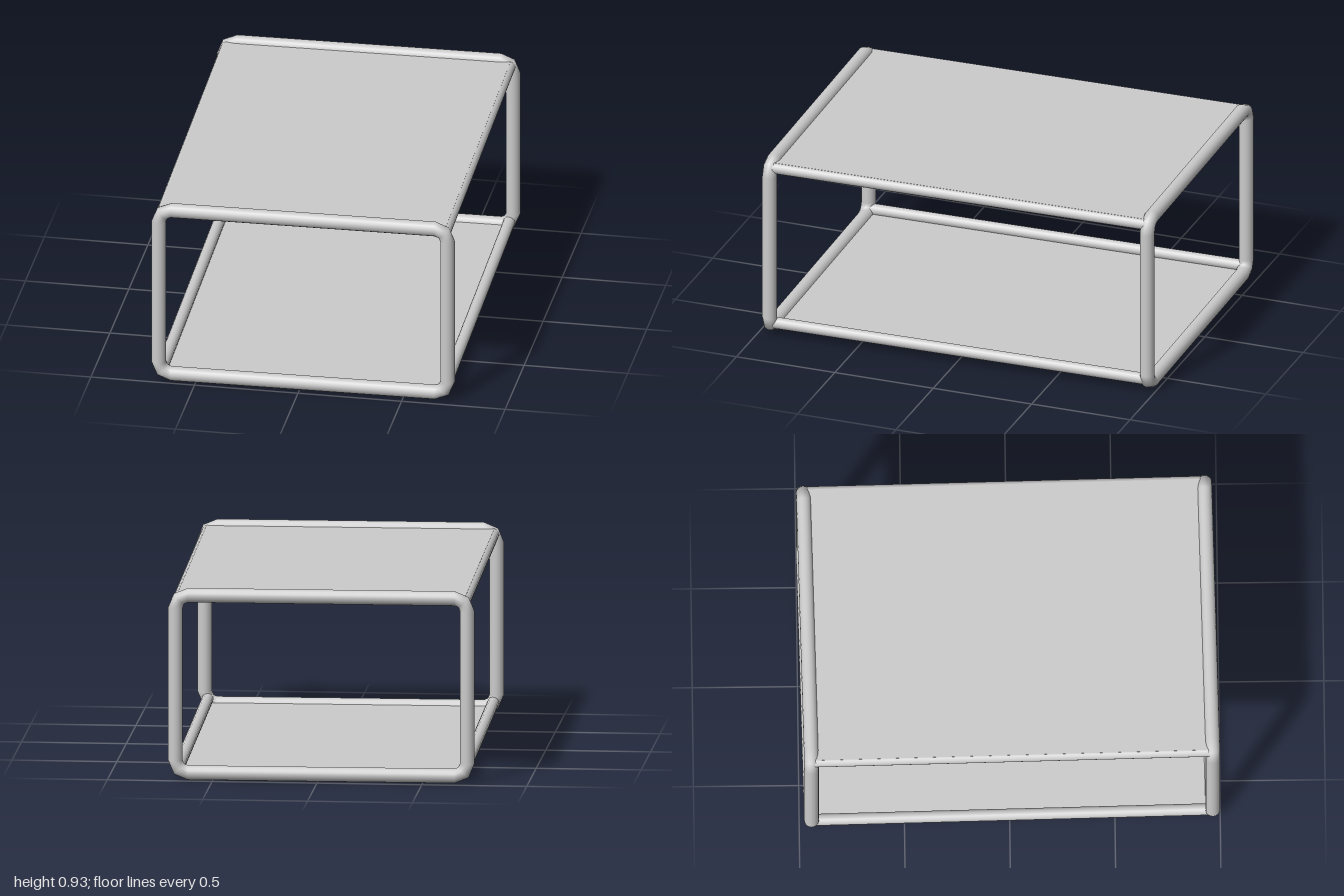
import * as THREE from 'three';

const material = new THREE.MeshStandardMaterial({ color: 0xcccccc });
const HALF_W = 0.695, LOW = 0.035, HIGH = 0.89; // frame centreline
const TUBE = 0.035, BEND = 0.06, FRAME_Z = 0.953;

// Closed round tube swept around a rectangle with bent corners
function frameGeometry(cornerSteps = 2, sides = 16) {
  const stations = [];
  const corners = [[1, 1], [-1, 1], [-1, -1], [1, -1]];
  corners.forEach(([sx, sy], c) => {
    const cx = sx * (HALF_W - BEND);
    const cy = sy > 0 ? HIGH - BEND : LOW + BEND;
    for (let i = 0; i <= cornerSteps; i++) {
      const a = (c + i / cornerSteps) * Math.PI / 2;
      stations.push({ cx, cy, nx: Math.cos(a), ny: Math.sin(a) });
    }
  });
  const positions = [], normals = [], index = [];
  const row = sides + 1;
  for (let i = 0; i <= stations.length; i++) {
    const { cx, cy, nx, ny } = stations[i % stations.length];
    for (let j = 0; j <= sides; j++) {
      const t = (j / sides) * Math.PI * 2;
      const out = Math.cos(t), z = Math.sin(t), r = BEND + TUBE * out;
      positions.push(cx + nx * r, cy + ny * r, z * TUBE);
      normals.push(nx * out, ny * out, z);
      if (i < stations.length && j < sides) {
        const a = i * row + j, b = a + row;
        index.push(a, b, a + 1, b, b + 1, a + 1);
      }
    }
  }
  const g = new THREE.BufferGeometry();
  g.setAttribute('position', new THREE.Float32BufferAttribute(positions, 3));
  g.setAttribute('normal', new THREE.Float32BufferAttribute(normals, 3));
  g.setIndex(index);
  return g;
}

export function createModel() {
  const model = new THREE.Group();
  model.name = 'tubularTable';
  const body = new THREE.Group();
  body.name = 'body';
  body.rotation.y = 0.017; // slight turn of the whole piece
  model.add(body);

  const add = (name, geometry, x, y, z) => {
    const mesh = new THREE.Mesh(geometry, material);
    mesh.name = name;
    mesh.position.set(x, y, z);
    body.add(mesh);
  };

  // End frames
  const frame = frameGeometry();
  add('frontFrame', frame, 0, 0, FRAME_Z);
  add('backFrame', frame, 0, 0, -FRAME_Z);

  // Long rails joining the frame corners
  const rail = new THREE.CylinderGeometry(0.028, 0.028, FRAME_Z * 2, 16).rotateX(Math.PI / 2);
  for (const [side, x] of [['left', 0.68], ['right', -0.68]]) {
    add(side + 'TopRail', rail, x, 0.87, 0);
    add(side + 'BottomRail', rail, x, 0.06, 0);
  }

  // Thin top and shelf panels, flush with the rails' outer faces
  const panel = new THREE.BoxGeometry(1.37, 0.012, FRAME_Z * 2);
  add('topPanel', panel, 0, 0.892, 0);
  add('bottomShelf', panel, 0, 0.038, 0);

  return model;
}
